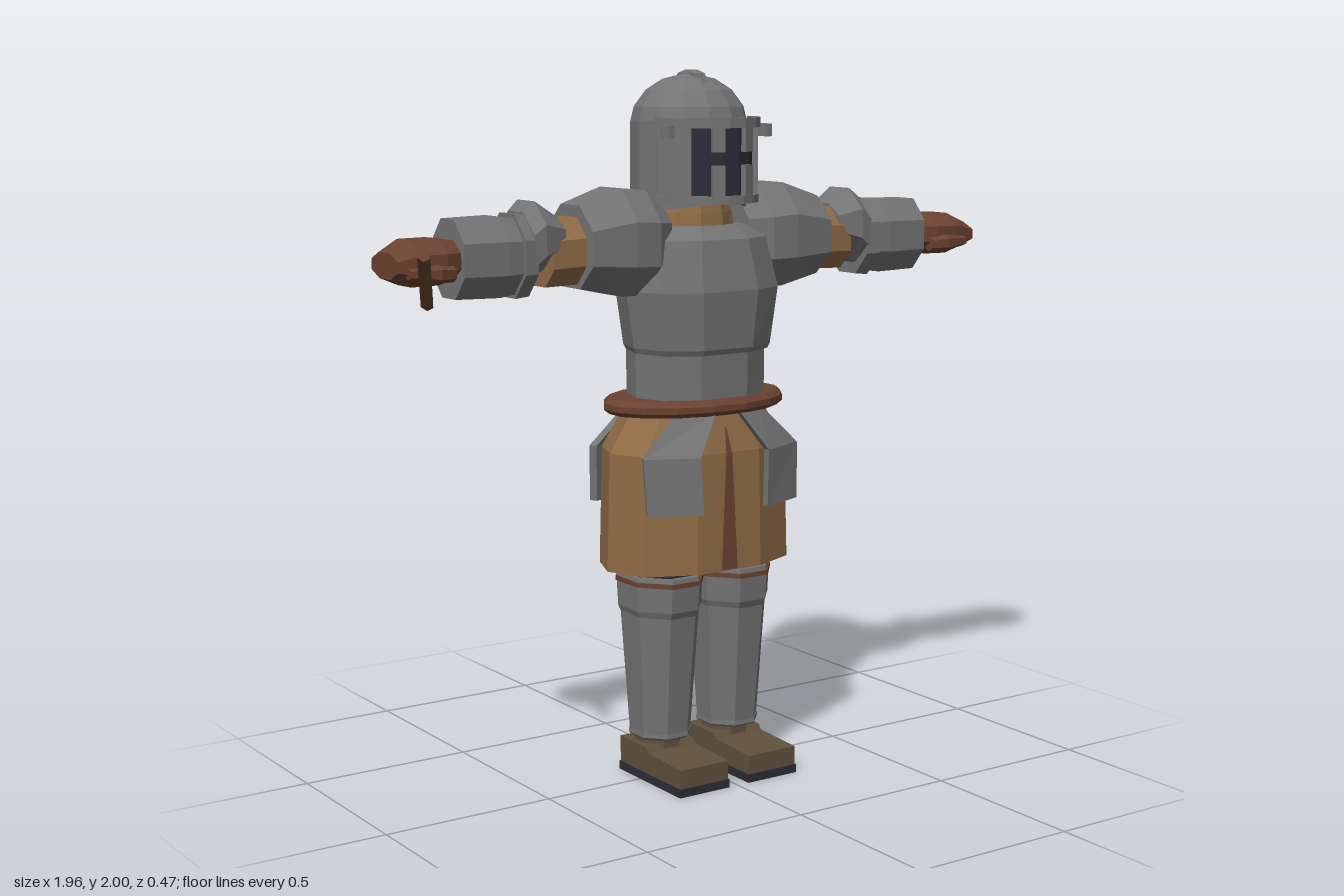
import * as THREE from 'three';

const mat = (name, color) => Object.assign(new THREE.MeshStandardMaterial({ color }), { name });
const steel = mat('steel', 0x747474), cloth = mat('tan cloth', 0x8f6c45), leather = mat('brown leather', 0x6b4230);
const boot = mat('boot leather', 0x5f513c), dark = mat('dark lining', 0x2d2d37);

// Flat-faced closed skin over rings of [x, y, z]; rings run counterclockwise seen from the far end.
function skin(rings) {
  const pos = [], n = rings[0].length;
  const tri = (...p) => p.forEach(v => pos.push(...v));
  const mid = r => [0, 1, 2].map(k => r.reduce((s, p) => s + p[k], 0) / n);
  const first = rings[0], last = rings[rings.length - 1], mf = mid(first), ml = mid(last);
  for (let i = 0; i < n; i++) {
    const j = (i + 1) % n;
    for (let k = 0; k < rings.length - 1; k++) {
      const a = rings[k], b = rings[k + 1];
      tri(a[i], a[j], b[j]);
      tri(a[i], b[j], b[i]);
    }
    tri(mf, first[j], first[i]);
    tri(ml, last[i], last[j]);
  }
  const g = new THREE.BufferGeometry();
  g.setAttribute('position', new THREE.Float32BufferAttribute(pos, 3));
  g.computeVertexNormals();
  return g;
}

// Upright loft; each row is [y, halfWidth, halfDepth, centreX, centreZ]. Power below 1 squares the outline.
function loft(rows, n = 8, power = 1, tilt = 0) {
  const f = v => Math.sign(v) * Math.abs(v) ** power;
  const unit = Array.from({ length: n }, (_, i) => {
    const a = (i + 0.5) * 2 * Math.PI / n;
    return [f(Math.sin(a)), f(Math.cos(a))];
  });
  const mx = Math.max(...unit.map(u => Math.abs(u[0]))), mz = Math.max(...unit.map(u => Math.abs(u[1])));
  return skin(rows.map(([y, w, d, cx = 0, cz = 0, t = 0]) =>
    unit.map(([x, z]) => [cx + x / mx * w, y + t * z / mz, cz + z / mz * d])));
}

export function createModel() {
  const root = new THREE.Group();
  root.name = 'armouredFigure';
  const add = (name, geo, material, x = 0, y = 0, z = 0, parent = root) => {
    const m = new THREE.Mesh(geo, material);
    m.name = name;
    m.position.set(x, y, z);
    parent.add(m);
    return m;
  };
  const box = (w, h, d) => new THREE.BoxGeometry(w, h, d);

  // Torso
  add('breastplate', loft([[1.225, 0.203, 0.15], [1.24, 0.21, 0.157], [1.4, 0.235, 0.168], [1.54, 0.2, 0.14], [1.575, 0.14, 0.1]], 10, 0.8), steel, 0, 0, -0.008);
  add('waistPlate', loft([[1.08, 0.2, 0.142], [1.23, 0.2, 0.145]], 10, 0.8), steel, 0, 0, -0.015);
  add('collar', loft([[1.54, 0.13, 0.1], [1.61, 0.115, 0.095], [1.67, 0.09, 0.085]], 10), cloth, 0, 0, -0.03);
  add('belt', loft([[1.055, 0.262, 0.165], [1.068, 0.278, 0.18], [1.085, 0.278, 0.18], [1.1, 0.262, 0.165]], 16), leather, 0, 0, -0.023);

  // Skirt: inner wall down, then outer wall up
  add('skirt', loft([[0.95, 0.25, 0.145], [0.62, 0.275, 0.163], [0.615, 0.292, 0.178], [0.95, 0.282, 0.174], [1.075, 0.2, 0.14]], 10, 0.85), cloth, 0, 0, -0.023);
  add('skirtSlit', skin([[0.618, 0.026, 0.158], [0.95, 0.009, 0.154], [1.02, 0.001, 0.136]].map(([y, w, z]) =>
    [[-w, y, z], [w, y, z], [w, y, z - 0.006], [-w, y, z - 0.006]])), leather);

  // Four hip plates
  const plateRows = [[0.79, 0.108, 0.21, 0.255, 0.15], [0.95, 0.115, 0.205, 0.262, 0.14], [1.07, 0.035, 0.165, 0.135, 0.13]];
  for (const s of [1, -1]) for (const f of [1, -1]) {
    const rings = plateRows.map(([y, x0, z0, x1, z1]) => {
      const r = [[x0, z0], [x1, z1], [x1 - 0.01, z1 - 0.022], [x0, z0 - 0.022]].map(([x, z]) => [s * x, y, f * z]);
      return s * f < 0 ? r.reverse() : r;
    });
    add(f > 0 ? 'frontHipPlate' : 'backHipPlate', skin(rings), steel, 0, 0, -0.023);
  }

  // Helmet: hollow lower edge, dome and crest
  add('helmet', loft([[1.75, 0.14, 0.14], [1.61, 0.15, 0.15, 0, 0, 0.025], [1.605, 0.164, 0.163, 0, -0.002, 0.03], [1.86, 0.164, 0.16], [1.9, 0.155, 0.148],
    [1.945, 0.122, 0.115], [1.975, 0.075, 0.07], [1.99, 0.01, 0.01]], 14), steel, 0, 0, -0.047);
  add('crest', loft([[1.96, 0.013, 0.075], [1.99, 0.012, 0.06], [2, 0.008, 0.025]], 8), steel, 0, 0, -0.035);

  // Visor: curved strips around the face
  const strip = (name, a0, a1, y0, y1, rx, rz, material) => {
    const count = Math.max(1, Math.round((a1 - a0) / 0.3)), step = (a1 - a0) / count;
    for (let i = 0; i < count; i++) {
      const a = a0 + i * step, b = a + step;
      const at = (t, y, in_) => [(rx - in_) * Math.sin(t), y, (rz - in_) * Math.cos(t)];
      add(name, skin([y0, y1].map(y => [at(a, y, 0), at(b, y, 0), at(b, y, 0.018), at(a, y, 0.018)])), material, 0, 0, -0.03);
    }
  };
  strip('visorOpening', -1.1, 1.1, 1.65, 1.85, 0.152, 0.196, dark);
  strip('visorBrim', -1.3, 1.3, 1.845, 1.872, 0.172, 0.222, steel);
  strip('visorRim', -1.3, 1.3, 1.64, 1.662, 0.168, 0.217, steel);
  for (const s of [1, -1]) {
    const span = (a, b) => s > 0 ? [a, b] : [-b, -a];
    strip('visorSide', ...span(0.74, 1.2), 1.655, 1.85, 0.165, 0.214, steel);
    strip('upperVisorBar', ...span(0.21, 0.42), 1.78, 1.85, 0.165, 0.214, steel);
    strip('lowerVisorBar', ...span(0.21, 0.42), 1.655, 1.745, 0.165, 0.214, steel);
    add('visorHinge', box(0.02, 0.035, 0.04), steel, s * 0.163, 1.835, 0.09);
  }

  for (const s of [1, -1]) {
    const side = s > 0 ? 'left' : 'right';
    // Arm parts run outward; rows are [distance, halfHeight, halfDepth, rise, forward]
    const arm = new THREE.Group();
    arm.name = side + 'Arm';
    root.add(arm);
    const limb = (name, rows, material, n = 8) => add(name,
      loft(rows.map(([t, h, d, rise = 0, z = 0]) => [t, h, d, -s * rise, z]), n).rotateZ(-s * Math.PI / 2), material, 0, 1.515, -0.028, arm);
    limb('pauldron', [[0.13, 0.1, 0.09, 0.03], [0.19, 0.143, 0.128, 0.018], [0.27, 0.147, 0.135, 0.022], [0.4, 0.112, 0.118, 0.015]], steel);
    limb('sleeve', [[0.35, 0.092, 0.086, 0.008], [0.5, 0.088, 0.083]], cloth);
    limb('elbowGuard', [[0.46, 0.055, 0.085, 0.045, -0.008], [0.53, 0.1, 0.11, 0.043, -0.012], [0.565, 0.1, 0.1, 0.015, -0.005]], steel);
    limb('elbowRim', [[0.553, 0.108, 0.094], [0.595, 0.112, 0.098]], steel);
    limb('vambrace', [[0.59, 0.1, 0.088], [0.64, 0.107, 0.092], [0.772, 0.104, 0.089]], steel);
    const e = s > 0 ? 0.975 : 0.955;
    limb('glove', [[0.765, 0.05, 0.07], [0.82, 0.06, 0.09, -0.003], [0.9, 0.06, 0.09, -0.004], [e, 0.034, 0.075, -0.008]], leather);
    limb('thumb', [[0.8, 0.022, 0.02, -0.03, 0.08], [0.85, 0.026, 0.03, -0.028, 0.085], [0.93, 0.016, 0.02, -0.025, 0.08]], leather, 6);

    // Leg
    const leg = new THREE.Group();
    leg.name = side + 'Leg';
    leg.position.set(s * 0.117, 0, -0.023);
    root.add(leg);
    const part = (name, rows, material) => add(name, loft(rows), material, 0, 0, 0, leg);
    part('thigh', [[0.55, 0.095, 0.11], [0.9, 0.11, 0.12]], dark);
    part('kneeStrap', [[0.572, 0.113, 0.136], [0.585, 0.113, 0.136]], leather);
    part('kneeGuard', [[0.48, 0.1, 0.118], [0.5, 0.107, 0.127], [0.575, 0.11, 0.133], [0.597, 0.106, 0.13]], steel);
    part('greave', [[0.13, 0.08, 0.088], [0.5, 0.102, 0.12]], steel);
    part('greaveRim', [[0.118, 0.076, 0.084], [0.125, 0.083, 0.091], [0.137, 0.082, 0.09]], steel);
    part('ankle', [[0.08, 0.062, 0.07, 0, -0.012], [0.13, 0.062, 0.07, 0, -0.012]], boot);
    const profile = new THREE.Shape([[-0.085, 0.022], [0.225, 0.022], [0.225, 0.078], [0.06, 0.085], [0.05, 0.1], [-0.085, 0.1]].map(p => new THREE.Vector2(...p)));
    add('boot', new THREE.ExtrudeGeometry(profile, { depth: 0.162, bevelEnabled: false }).rotateY(-Math.PI / 2), boot, 0.081, 0, 0, leg);
    add('sole', box(0.168, 0.024, 0.316), dark, 0, 0.012, 0.07, leg);
  }

  // Short stick gripped in the right hand
  const from = new THREE.Vector3(-0.83, 1.4, -0.04), to = new THREE.Vector3(-0.972, 1.555, 0.222);
  const dir = to.clone().sub(from), len = dir.length();
  const stick = add('stick', loft([[-len / 2, 0.018, 0.018], [len / 2, 0.018, 0.018]], 6), leather);
  stick.position.copy(from).add(to).multiplyScalar(0.5);
  stick.quaternion.setFromUnitVectors(new THREE.Vector3(0, 1, 0), dir.normalize());

  root.children.forEach(c => { c.position.x += 0.004; });
  return root;
}
